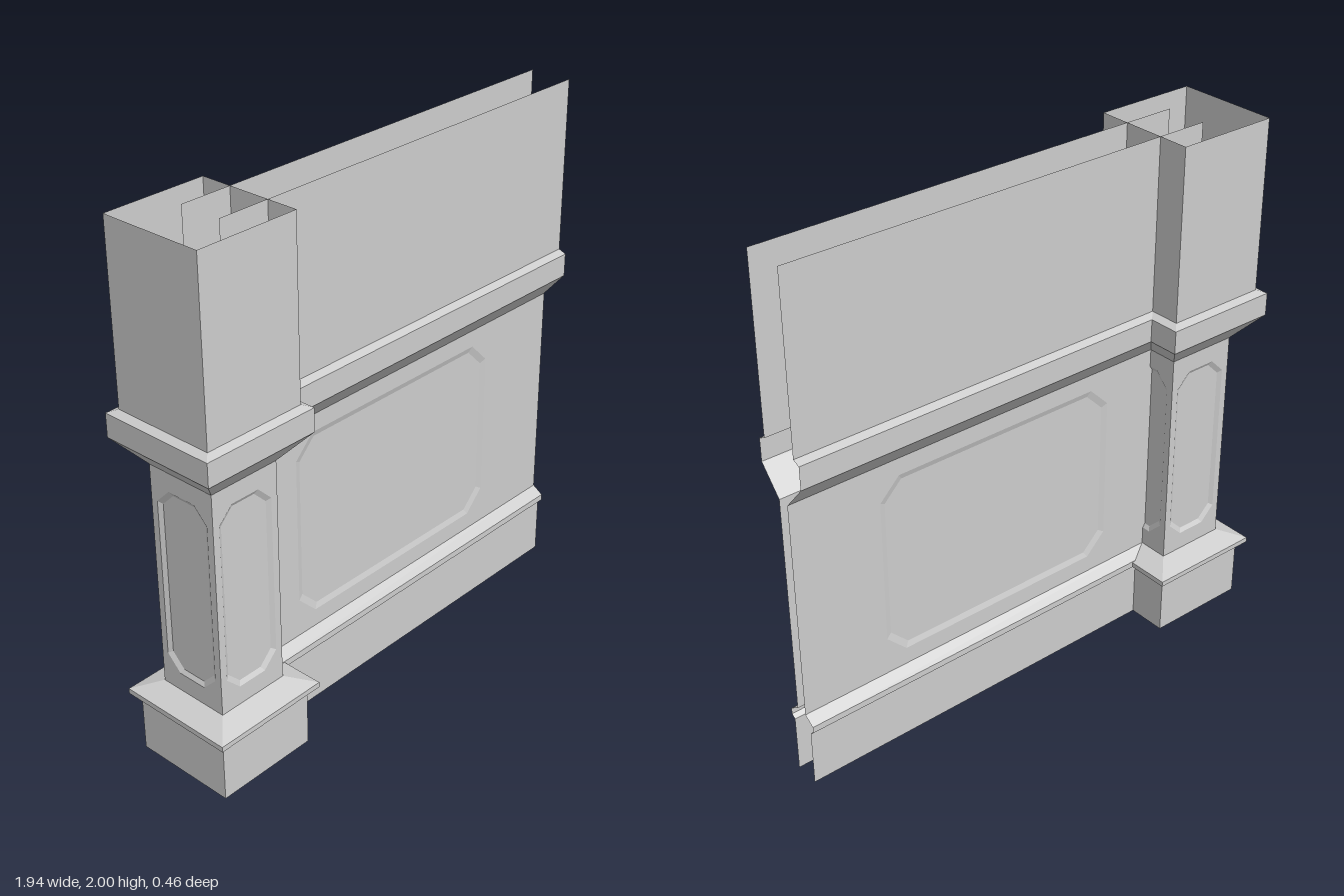
import * as THREE from 'three';

const material = new THREE.MeshStandardMaterial({ color: 0xcccccc, side: THREE.DoubleSide, flatShading: true });

function addMesh(parent, geometry, name) {
  const mesh = new THREE.Mesh(geometry, material);
  mesh.name = name;
  parent.add(mesh);
  return mesh;
}

// Skin of quads between successive rows of [x, y, z] points
function loft(rows, closed) {
  const pos = [];
  for (let r = 0; r < rows.length - 1; r++) {
    const lo = rows[r], hi = rows[r + 1], n = lo.length;
    for (let i = 0; i < (closed ? n : n - 1); i++) {
      const j = (i + 1) % n;
      pos.push(...lo[i], ...lo[j], ...hi[j], ...lo[i], ...hi[j], ...hi[i]);
    }
  }
  const geometry = new THREE.BufferGeometry();
  geometry.setAttribute('position', new THREE.Float32BufferAttribute(pos, 3));
  geometry.computeVertexNormals();
  return geometry;
}

// Rectangle with cut corners, counterclockwise, half sizes w and h, corner cut c
const octagon = (w, h, c, cy) => [
  [-w + c, -h], [w - c, -h], [w, -h + c], [w, h - c],
  [w - c, h], [-w + c, h], [-w, h - c], [-w, -h + c],
].map(([x, y]) => new THREE.Vector2(x, y + cy));

// Flat face from y0 to y1 with a bevelled, sunken panel
function panelledFace(name, halfWidth, y0, y1, panel) {
  const { w, h, c, cy, bevel, depth } = panel;
  const group = new THREE.Group();
  group.name = name;
  const outer = octagon(w, h, c, cy);
  const inner = octagon(w - bevel, h - bevel, c - bevel * 0.4, cy);
  const frame = new THREE.Shape([
    new THREE.Vector2(-halfWidth, y0), new THREE.Vector2(halfWidth, y0),
    new THREE.Vector2(halfWidth, y1), new THREE.Vector2(-halfWidth, y1),
  ]);
  frame.holes.push(new THREE.Path(outer));
  addMesh(group, new THREE.ShapeGeometry(frame), 'panelFrame');
  addMesh(group, loft([outer.map(p => [p.x, p.y, 0]), inner.map(p => [p.x, p.y, -depth])], true), 'panelBevel');
  addMesh(group, new THREE.ShapeGeometry(new THREE.Shape(inner)), 'sunkenPanel').position.z = -depth;
  return group;
}

// Outlines as [distance from centre, height]; the panelled zone lies between them
const columnLower = [[0.2, 0], [0.2, 0.222], [0.23, 0.235], [0.23, 0.255], [0.142, 0.288]];
const columnUpper = [[0.142, 1.145], [0.23, 1.245], [0.23, 1.333], [0.2, 1.345], [0.2, 2]];
const wallLower = [[0.048, 0], [0.048, 0.222], [0.065, 0.235], [0.065, 0.26], [0.023, 0.288]];
const wallUpper = [[0.023, 1.145], [0.11, 1.245], [0.11, 1.333], [0.081, 1.345], [0.081, 2]];

function createColumn() {
  const column = new THREE.Group();
  column.name = 'column';
  const square = ([r, y]) => [[-r, y, r], [r, y, r], [r, y, -r], [-r, y, -r]];
  addMesh(column, loft(columnLower.map(square), true), 'columnBase');
  addMesh(column, loft(columnUpper.map(square), true), 'columnCapital');
  for (let i = 0; i < 4; i++) {
    const face = panelledFace('columnFace', 0.142, 0.288, 1.145,
      { w: 0.115, h: 0.358, c: 0.057, cy: 0.717, bevel: 0.016, depth: 0.01 });
    const angle = i * Math.PI / 2;
    face.rotation.y = angle;
    face.position.set(0.142 * Math.sin(angle), 0, 0.142 * Math.cos(angle));
    column.add(face);
  }
  return column;
}

function createWallSide(name) {
  const half = 0.8565;
  const side = new THREE.Group();
  side.name = name;
  const line = ([z, y]) => [[-half, y, z], [half, y, z]];
  addMesh(side, loft(wallLower.map(line), false), 'skirting');
  addMesh(side, loft(wallUpper.map(line), false), 'railAndUpperWall');
  const face = panelledFace('wallFace', half, 0.288, 1.145,
    { w: 0.505, h: 0.362, c: 0.08, cy: 0.717, bevel: 0.022, depth: 0.007 });
  face.position.z = 0.023;
  side.add(face);
  return side;
}

export function createModel() {
  const model = new THREE.Group();
  model.name = 'panelledWallWithColumn';

  const column = createColumn();
  column.position.x = -0.743;
  model.add(column);

  // Two open wall skins back to back, running from the column's middle
  ['frontWall', 'backWall'].forEach((name, i) => {
    const side = createWallSide(name);
    side.position.x = 0.1135;
    side.rotation.y = i * Math.PI;
    model.add(side);
  });
  return model;
}
